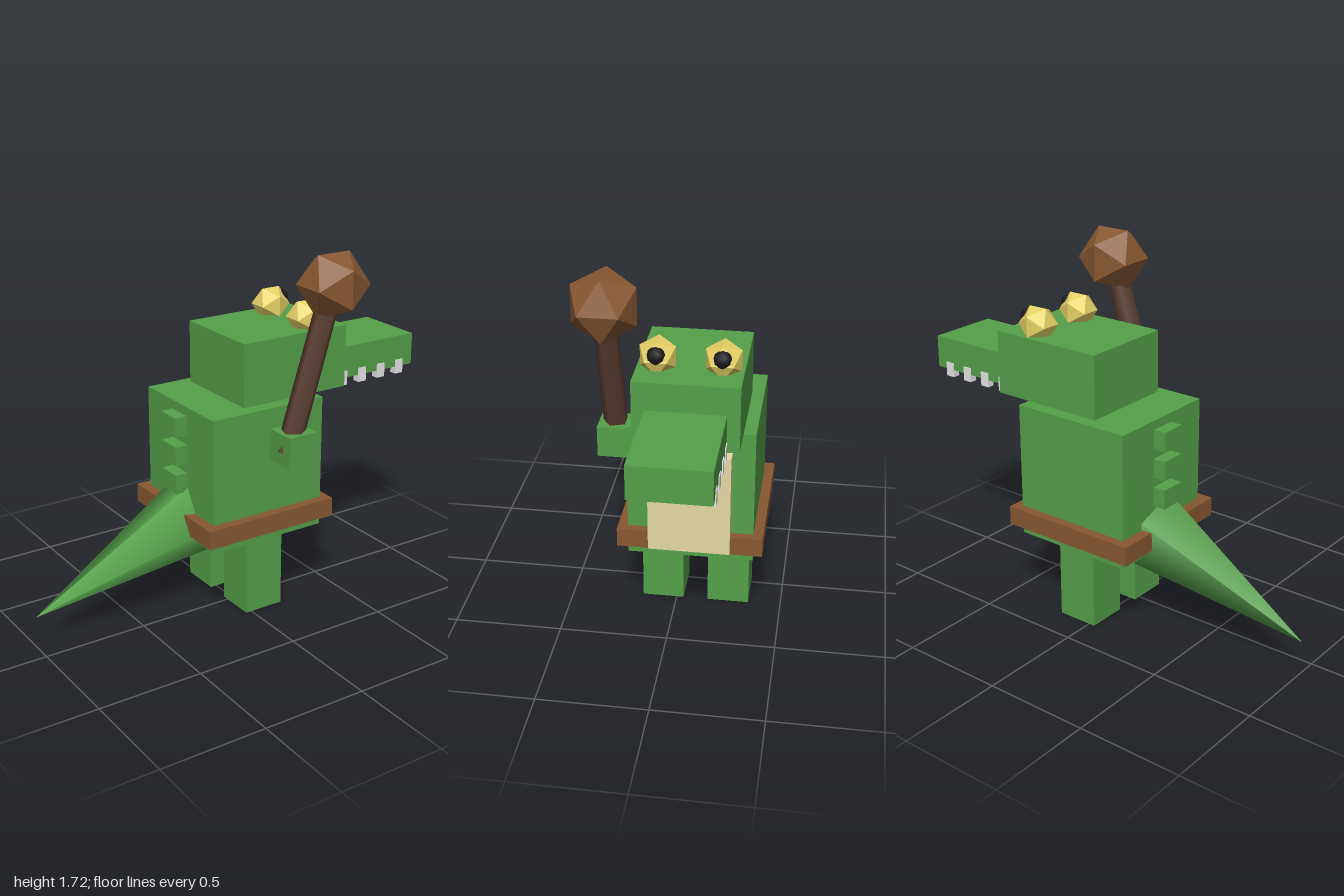
import * as THREE from 'three';

export function createModel() {
  const model = new THREE.Group();
  model.name = 'crocodileWithClub';

  const mat = (name, color) => {
    const m = new THREE.MeshStandardMaterial({ color });
    m.name = name;
    return m;
  };
  const green = mat('skinGreen', 0x55a04a);
  const cream = mat('bellyCream', 0xe4d9a4);
  const leather = mat('leatherBrown', 0x885832);
  const wood = mat('darkWood', 0x5c4033);
  const yellow = mat('eyeYellow', 0xe6d266);
  const black = mat('pupilBlack', 0x1a1a1a);
  const white = mat('toothWhite', 0xf0f0f0);

  const add = (name, geometry, material, x, y, z) => {
    const mesh = new THREE.Mesh(geometry, material);
    mesh.name = name;
    mesh.position.set(x, y, z);
    model.add(mesh);
    return mesh;
  };
  // Box given by its lower and upper limits on each axis
  const box = (name, material, [x0, x1], [y0, y1], [z0, z1]) =>
    add(name, new THREE.BoxGeometry(x1 - x0, y1 - y0, z1 - z0), material,
      (x0 + x1) / 2, (y0 + y1) / 2, (z0 + z1) / 2);

  const mid = -0.092; // body's own centre plane, the animal looks along +x
  const across = (half, centre = mid) => [centre - half, centre + half];

  // Torso, belly plate and belt
  box('torso', green, [-0.23, 0.37], [0.38, 1.025], across(0.285));
  box('belly', cream, [0.36, 0.43], [0.44, 0.93], across(0.185));
  box('belt', leather, [-0.28, 0.41], [0.43, 0.52], across(0.33));

  // Head and snout
  box('head', green, [-0.03, 0.54], [1.03, 1.33], across(0.23));
  box('snout', green, [0.53, 1.0], [1.045, 1.2], across(0.174));

  // Paired parts: legs, eyes, pupils, teeth
  for (const side of [-1, 1]) {
    box('leg', green, [-0.03, 0.17], [0, 0.385], across(0.098, mid + side * 0.156));
    const eyeZ = mid + side * 0.14;
    add('eye', new THREE.IcosahedronGeometry(0.091), yellow, 0.37, 1.375, eyeZ);
    add('pupil', new THREE.IcosahedronGeometry(0.04, 1), black, 0.424, 1.4, eyeZ);
    for (let i = 0; i < 4; i++) {
      const x = 0.576 + i * 0.115;
      box('tooth', white, [x - 0.023, x + 0.023], [1.01, 1.08], across(0.018, mid + side * 0.16));
    }
  }

  // Back ridges
  for (let i = 0; i < 3; i++) {
    const y = 0.61 + i * 0.14;
    box('backRidge', green, [-0.292, -0.225], [y, y + 0.092], across(0.062));
  }

  // Five-sided tail, sloping down to its tip
  const tail = add('tail', new THREE.ConeGeometry(0.21, 0.96, 5), green, -0.549, 0.319, mid);
  tail.rotation.z = THREE.MathUtils.degToRad(110);

  // Hand holding the club
  box('hand', green, [0.07, 0.22], [0.783, 0.932], [0.203, 0.355]);
  const grip = new THREE.Vector3(0.112, 0.83, 0.28);
  const top = new THREE.Vector3(0.345, 1.58, 0.28);
  const centre = grip.clone().lerp(top, 0.5);
  const handle = add('clubHandle', new THREE.CylinderGeometry(0.054, 0.058, grip.distanceTo(top), 5),
    wood, centre.x, centre.y, centre.z);
  handle.rotation.z = -Math.atan2(top.x - grip.x, top.y - grip.y);
  add('clubHead', new THREE.IcosahedronGeometry(0.166), leather, top.x, top.y, top.z);

  return model;
}
